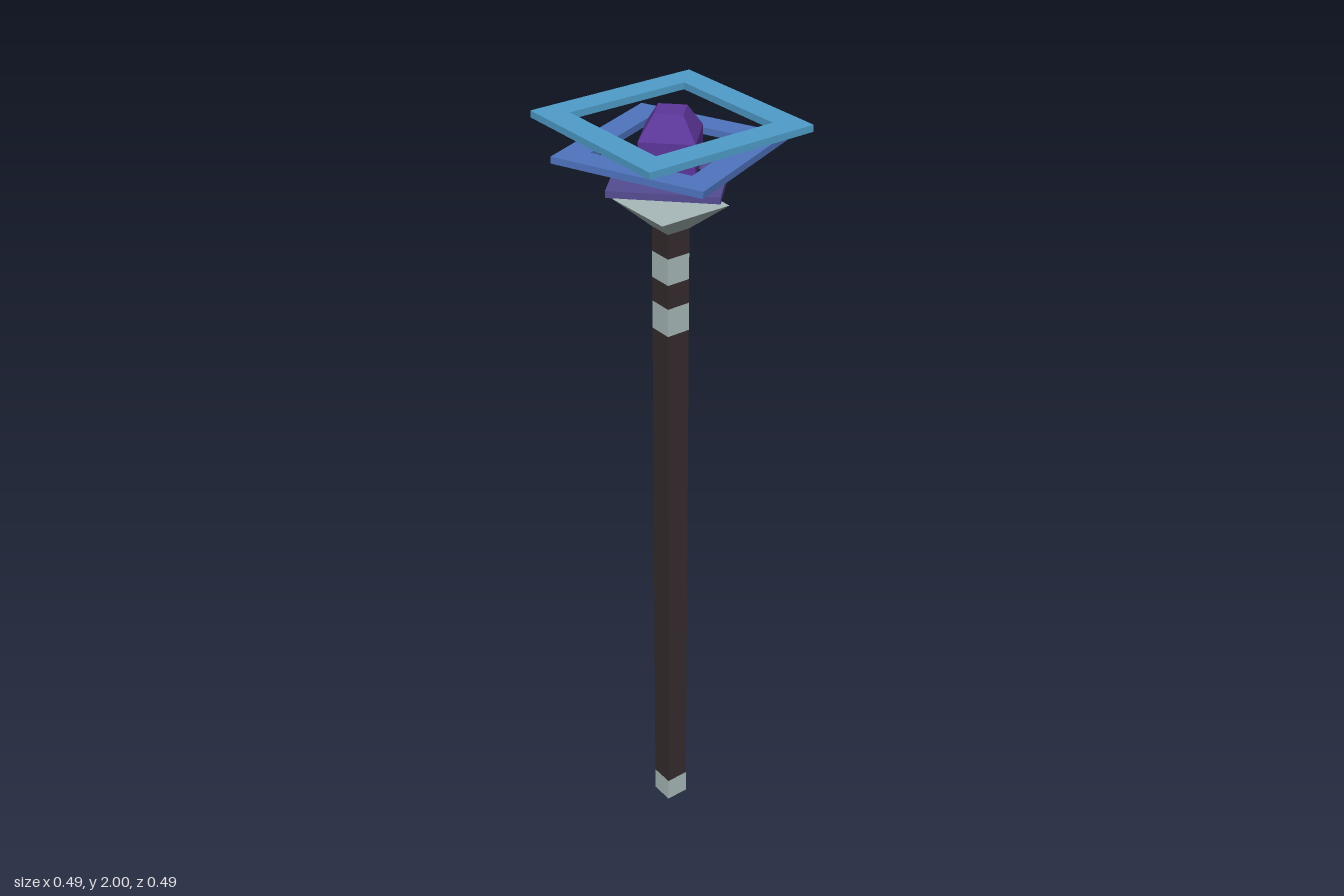
import * as THREE from 'three';

const mat = (name, color) => {
  const m = new THREE.MeshStandardMaterial({ color });
  m.name = name;
  return m;
};

export function createModel() {
  const staff = new THREE.Group();
  staff.name = 'staff';
  const wood = mat('dark wood', 0x352b2d);
  const silver = mat('silver', 0xa8b9b9);
  const purple = mat('crystal purple', 0x5c3699);
  const violet = mat('violet', 0x544c92);
  const blue = mat('blue', 0x4f74bf);
  const sky = mat('sky blue', 0x4f9dcb);

  const add = (name, geometry, material) => {
    const mesh = new THREE.Mesh(geometry, material);
    mesh.name = name;
    staff.add(mesh);
    return mesh;
  };

  // Four-sided solid turned from a profile of [radius, height], with flat faces
  const fourSided = (profile) => {
    const g = new THREE.LatheGeometry(profile.map(([r, y]) => new THREE.Vector2(r, y)), 4).toNonIndexed();
    g.computeVertexNormals();
    return g;
  };
  // Half width of a square to its corner radius
  const corner = (half) => half * Math.SQRT2;

  // Shaft: wood sections with flush silver bands
  const sections = [
    ['endBand', 0.035, 0.1, silver],
    ['shaft', 0.1, 1.47, wood],
    ['lowerBand', 1.47, 1.54, silver],
    ['grip', 1.54, 1.6, wood],
    ['upperBand', 1.6, 1.665, silver],
    ['neck', 1.665, 1.725, wood],
  ];
  for (const [name, y0, y1, material] of sections) {
    add(name, new THREE.BoxGeometry(0.06, y1 - y0, 0.06), material).position.y = (y0 + y1) / 2;
  }

  // Pointed foot and flared cup
  add('foot', fourSided([[0, 0.005], [corner(0.03), 0.035]]), silver).rotation.y = Math.PI / 4;
  add('cup', fourSided([[0, 1.725], [corner(0.03), 1.725], [corner(0.093), 1.785], [0, 1.785]]), silver)
    .rotation.y = Math.PI / 4;

  // Floating crystal
  add('crystal', fourSided([[0, 1.817], [0.045, 1.817], [0.089, 1.871], [0.089, 1.946], [0.045, 2], [0, 2]]), purple);

  // Square rings, each twisted against the next
  const square = (h, Type) => new Type([[-h, -h], [h, -h], [h, h], [-h, h]].map(([x, y]) => new THREE.Vector2(x, y)));
  const rings = [
    ['lowerRing', 0.125, 1.849, Math.PI / 4, violet],
    ['middleRing', 0.188, 1.911, Math.PI / 8, blue],
    ['upperRing', 0.218, 1.973, 0, sky],
  ];
  for (const [name, half, y, turn, material] of rings) {
    const shape = square(half, THREE.Shape);
    shape.holes.push(square(half - 0.062, THREE.Path));
    const g = new THREE.ExtrudeGeometry(shape, { depth: 0.016, bevelEnabled: false });
    g.translate(0, 0, -0.008).rotateX(-Math.PI / 2);
    const ring = add(name, g, material);
    ring.position.y = y;
    ring.rotation.y = turn;
  }
  return staff;
}
